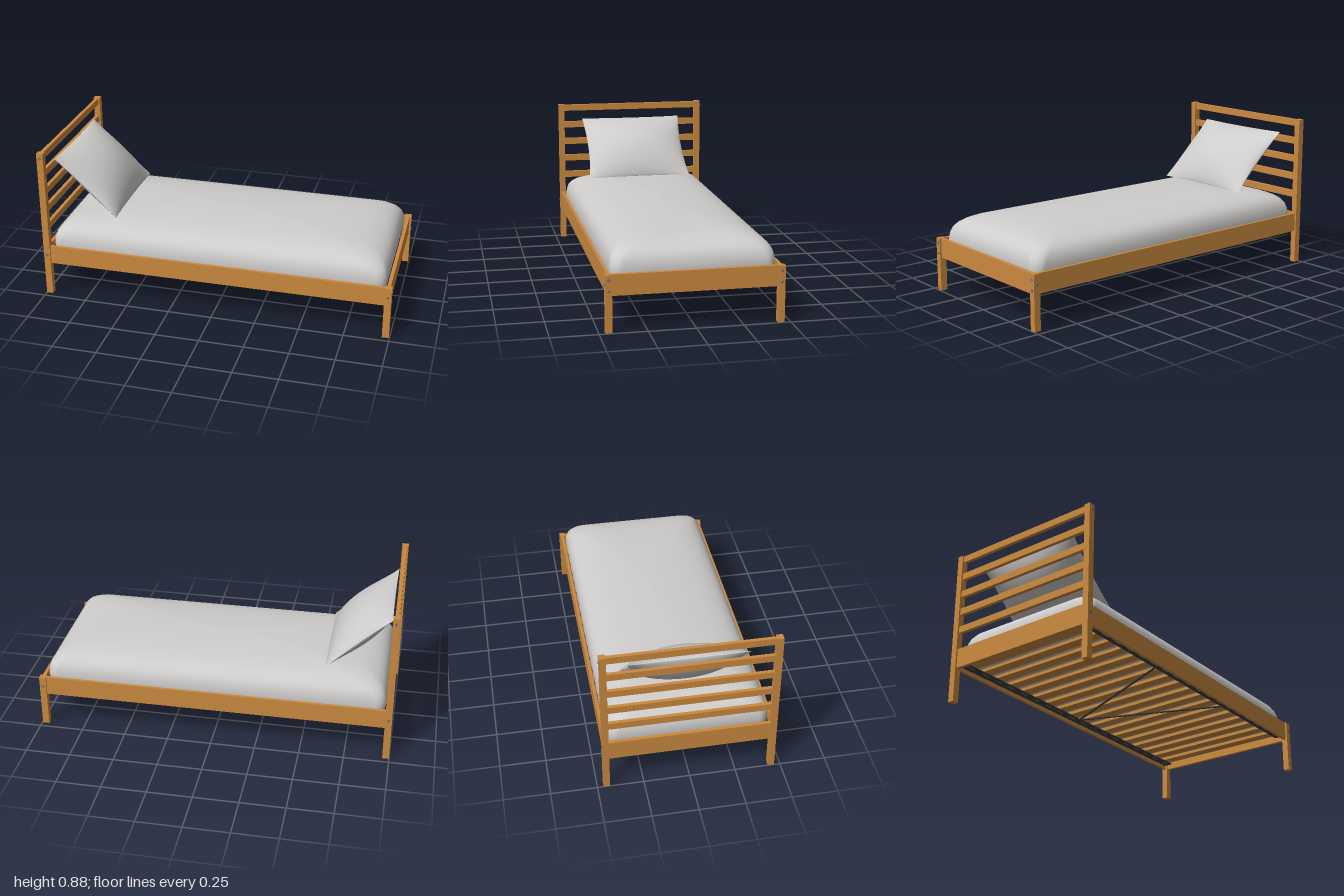
import * as THREE from 'three';

const mat = (name, color) => {
  const m = new THREE.MeshStandardMaterial({ color });
  m.name = name;
  return m;
};

export function createModel() {
  const wood = mat('warm wood', 0xcb8a40);
  const fabric = mat('light fabric', 0xcfcdcb);
  const metal = mat('dark metal', 0x3c3f44);
  const steel = mat('bolt steel', 0x70757c);

  const bed = new THREE.Group();
  bed.name = 'bed';

  const add = (name, geo, material) => {
    const mesh = new THREE.Mesh(geo, material);
    mesh.name = name;
    bed.add(mesh);
    return mesh;
  };
  // Box given by its lower and upper limits on each axis
  const box = (name, x0, x1, y0, y1, z0, z1, material = wood) => {
    const mesh = add(name, new THREE.BoxGeometry(x1 - x0, y1 - y0, z1 - z0), material);
    mesh.position.set((x0 + x1) / 2, (y0 + y1) / 2, (z0 + z1) / 2);
    return mesh;
  };
  const bolt = (x, y, z, axis) => {
    const mesh = add('bolt', new THREE.CylinderGeometry(0.008, 0.008, 0.008, 16), steel);
    mesh.position.set(x, y, z);
    if (axis === 'x') mesh.rotation.z = Math.PI / 2;
    else mesh.rotation.x = Math.PI / 2;
  };

  // Posts, side rails and bolts, mirrored front to back
  for (const s of [-1, 1]) {
    const zs = (a, b) => (s > 0 ? [a, b] : [-b, -a]);
    box('headPost', -1, -0.962, 0, 0.88, ...zs(0.432, 0.467));
    box('footPost', 0.958, 0.996, 0, 0.305, ...zs(0.432, 0.467));
    box('sideRail', -0.962, 0.958, 0.195, 0.304, ...zs(0.441, 0.457));
    bolt(-0.981, 0.85, s * 0.467, 'z');
    bolt(-0.981, 0.25, s * 0.467, 'z');
    bolt(0.977, 0.25, s * 0.467, 'z');
    for (const y of [0.218, 0.277]) bolt(0.996, y, s * 0.449, 'x');
  }

  // Head and foot boards
  box('footRail', 0.966, 0.986, 0.193, 0.304, -0.432, 0.432);
  box('headRail', -0.991, -0.971, 0.193, 0.304, -0.432, 0.432);
  for (let i = 0; i < 5; i++) {
    const y = 0.4 + i * 0.1095;
    box('headboardSlat', -0.991, -0.971, y, y + 0.039, -0.432, 0.432);
  }

  // Slotted metal supports along both sides
  for (const s of [-1, 1]) {
    const plate = new THREE.Shape();
    plate.moveTo(-0.95, -0.024).lineTo(0.95, -0.024).lineTo(0.95, 0.024).lineTo(-0.95, 0.024);
    for (let i = 0; i < 18; i++) {
      const x = -0.9 + (i * 1.8) / 17;
      const slot = new THREE.Path();
      slot.moveTo(x - 0.025, -0.006).lineTo(x - 0.025, 0.006).lineTo(x + 0.025, 0.006).lineTo(x + 0.025, -0.006);
      plate.holes.push(slot);
    }
    const geo = new THREE.ExtrudeGeometry(plate, { depth: 0.005, bevelEnabled: false });
    const support = add('slatSupport', geo.rotateX(-Math.PI / 2), metal);
    support.position.set(0, 0.215, s * 0.412);
    box('supportFlange', -0.95, 0.95, 0.215, 0.25, s * 0.4385 - 0.0025, s * 0.4385 + 0.0025, metal);

    // Diagonal brace, meeting its twin at the back support
    const dx = s * 0.33, dz = 0.79;
    const brace = add('brace', new THREE.BoxGeometry(0.012, 0.005, Math.hypot(dx, dz)), metal);
    brace.position.set(dx / 2, 0.214, 0);
    brace.rotation.y = Math.atan2(dx, dz);
  }

  // Bed slats
  for (let i = 0; i < 18; i++) {
    const x = -0.9 + (i * 1.8) / 17;
    box('bedSlat', x - 0.03, x + 0.03, 0.221, 0.238, -0.43, 0.43);
  }

  add('mattress', mattressGeometry(), fabric);

  // Pillow leaning on the headboard
  const pillow = new THREE.Group();
  pillow.name = 'pillow';
  for (const side of [1, -1]) {
    const half = new THREE.Mesh(pillowHalf(side), fabric);
    half.name = side > 0 ? 'pillowTop' : 'pillowUnderside';
    pillow.add(half);
  }
  const up = new THREE.Vector3(-0.35, 0.325, 0).normalize();
  const normal = new THREE.Vector3(0.325, 0.35, 0).normalize();
  pillow.quaternion.setFromRotationMatrix(
    new THREE.Matrix4().makeBasis(up.clone().cross(normal), up, normal));
  pillow.position.set(-0.784, 0.624, 0);
  bed.add(pillow);

  return bed;
}

// Stack of rounded rectangles: [y, half length, half width, corner radius]
function mattressGeometry() {
  const rings = [
    [0.24, 0, 0, 0], [0.24, 0.94, 0.42, 0.05], [0.26, 0.955, 0.431, 0.06],
    [0.305, 0.96, 0.435, 0.06], [0.34, 0.956, 0.432, 0.065], [0.37, 0.946, 0.424, 0.07],
    [0.395, 0.928, 0.408, 0.08], [0.415, 0.9, 0.385, 0.09], [0.432, 0.86, 0.35, 0.1],
    [0.446, 0.8, 0.3, 0.11], [0.456, 0.71, 0.24, 0.12], [0.464, 0.58, 0.165, 0.11],
    [0.469, 0.4, 0.085, 0.06], [0.472, 0, 0, 0],
  ];
  const seg = 10, n = 4 * (seg + 1);
  const pos = [], index = [];
  for (const [y, hx, hz, r] of rings) {
    for (let c = 0; c < 4; c++) {
      const sx = c === 0 || c === 3 ? 1 : -1, sz = c < 2 ? 1 : -1;
      for (let k = 0; k <= seg; k++) {
        const a = (c + k / seg) * Math.PI / 2;
        pos.push(sx * (hx - r) + r * Math.cos(a), y, sz * (hz - r) + r * Math.sin(a));
      }
    }
  }
  for (let i = 0; i < rings.length - 1; i++) {
    for (let j = 0; j < n; j++) {
      const a = i * n + j, b = i * n + (j + 1) % n;
      index.push(a, a + n, b, b, a + n, b + n);
    }
  }
  const geo = new THREE.BufferGeometry();
  geo.setAttribute('position', new THREE.Float32BufferAttribute(pos, 3));
  geo.setIndex(index);
  geo.computeVertexNormals();
  return geo;
}

// One puffed face of the pillow, with edges drawn in between the corners
function pillowHalf(side) {
  const geo = new THREE.PlaneGeometry(2, 2, 32, 28);
  if (side < 0) geo.rotateY(Math.PI);
  const p = geo.attributes.position;
  for (let i = 0; i < p.count; i++) {
    const u = Math.sin(p.getX(i) * Math.PI / 2), v = Math.sin(p.getY(i) * Math.PI / 2);
    const fu = Math.max(0, 1 - u * u), fv = Math.max(0, 1 - v * v);
    p.setXYZ(i,
      u * 0.318 * (1 - 0.05 * fv),
      v * 0.24 * (1 - 0.025 * fu),
      side * 0.09 * Math.pow(fu, 0.65) * Math.pow(fv, 0.8));
  }
  geo.computeVertexNormals();
  return geo;
}
